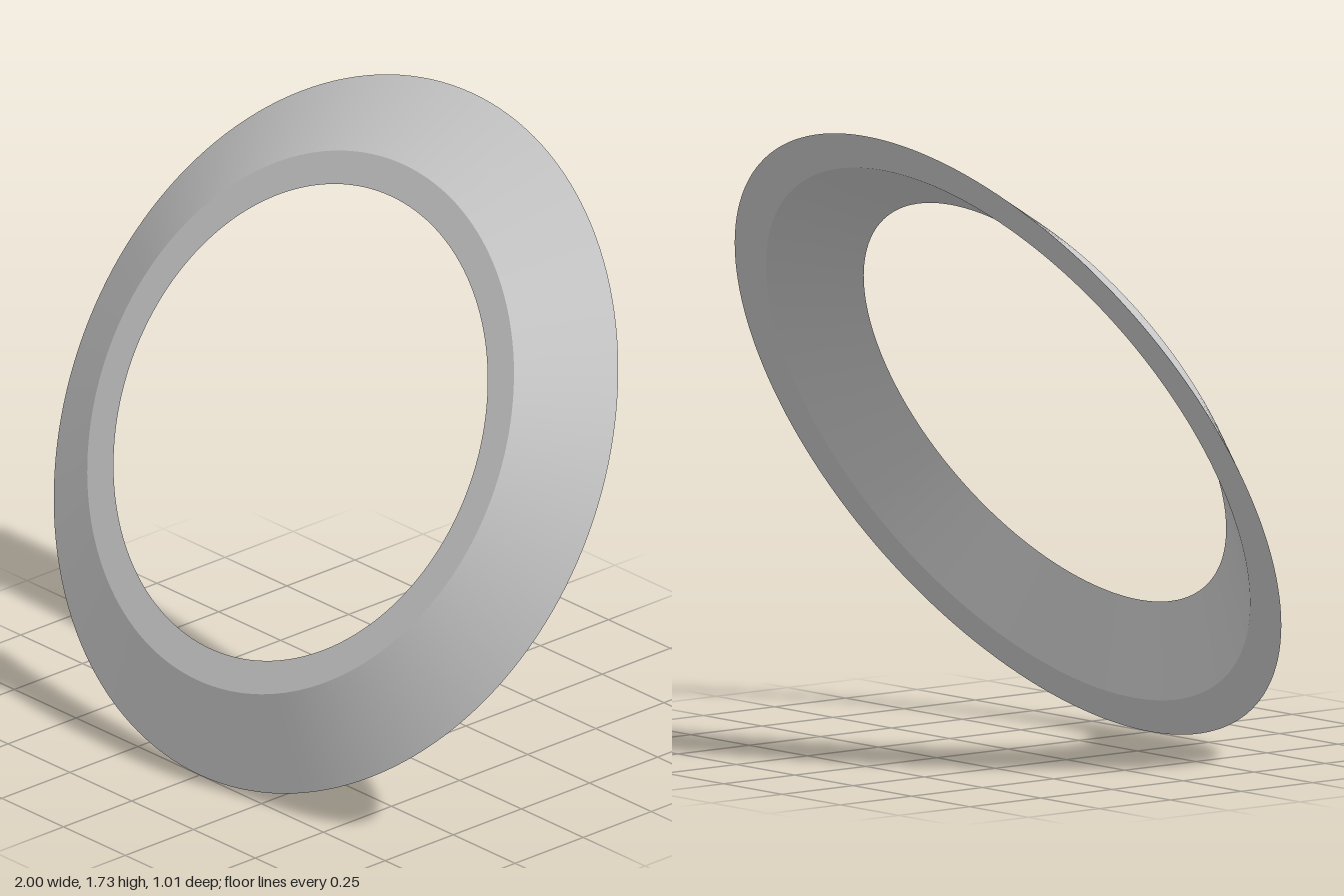
import * as THREE from 'three';

export function createModel() {
  const model = new THREE.Group();
  const material = new THREE.MeshStandardMaterial({ color: 0xcccccc });

  // Cross-section of the ring: [radius, height along its axis]
  const baseOuter = [1, 0], rimOuter = [0.756, 0.15];
  const rimInner = [0.663, 0.15], baseInner = [0.886, 0];

  // One lathe per band, so each is smooth around and sharp at its edges
  const bands = [
    ['outerBevel', baseOuter, rimOuter],
    ['frontRim', rimOuter, rimInner],
    ['innerBevel', rimInner, baseInner],
    ['backRim', baseInner, baseOuter],
  ];
  const ring = new THREE.Group();
  ring.name = 'bevelledRing';
  for (const [name, from, to] of bands) {
    const points = [from, to].map(([r, h]) => new THREE.Vector2(r, h));
    const mesh = new THREE.Mesh(new THREE.LatheGeometry(points, 160), material);
    mesh.name = name;
    ring.add(mesh);
  }

  // Lean the ring back 30 degrees, resting on its lower edge
  ring.rotation.x = Math.PI / 3;
  ring.position.y = Math.sin(Math.PI / 3);
  model.add(ring);
  return model;
}
